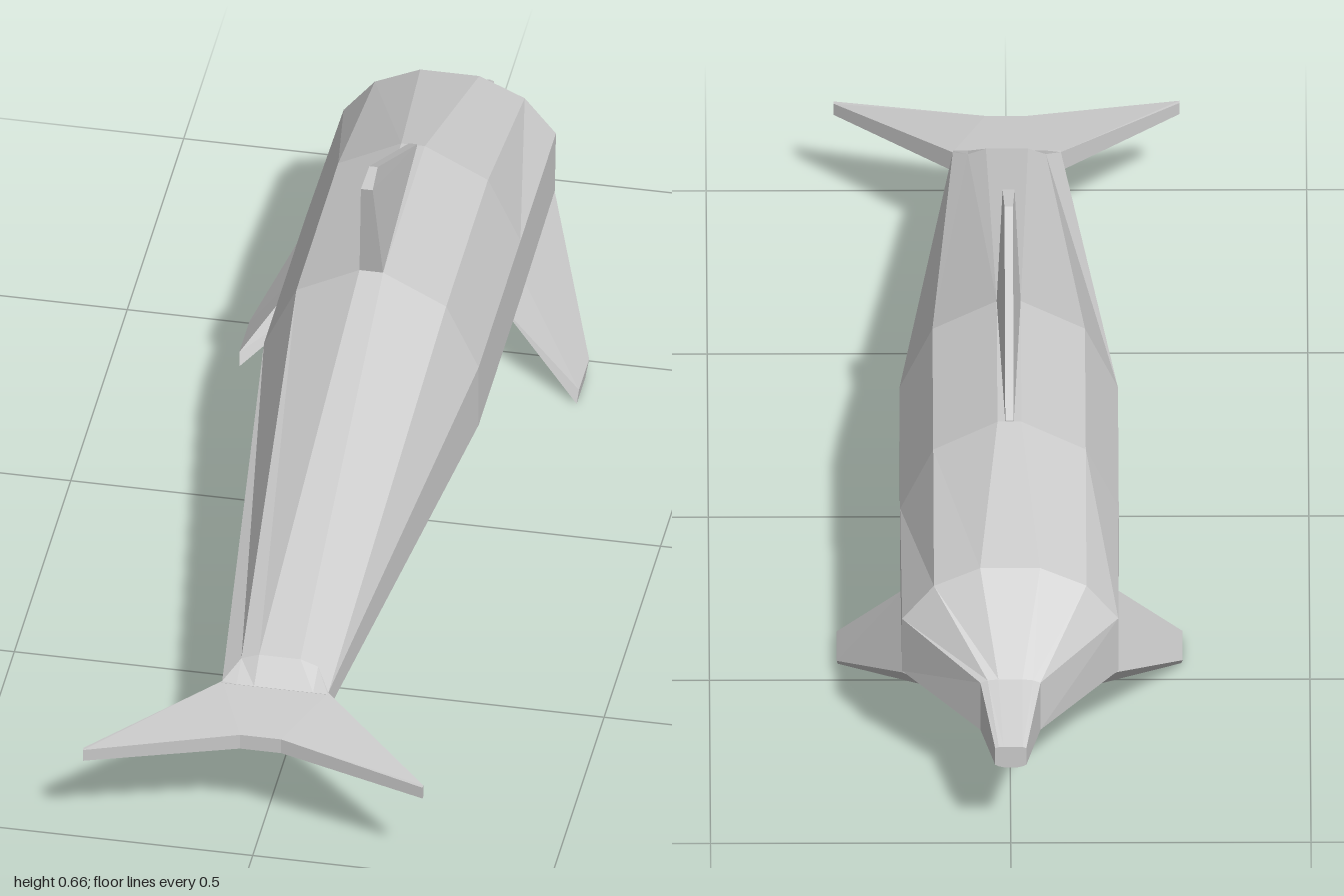
import * as THREE from 'three';

const material = new THREE.MeshStandardMaterial({ color: 0xcccccc, flatShading: true });

// Skins a list of rings (clockwise when seen against the direction of travel), with end caps
function loft(name, rings) {
  const pos = [];
  const tri = (a, b, c) => pos.push(...a, ...b, ...c);
  const n = rings[0].length;
  for (let k = 0; k < rings.length - 1; k++) {
    for (let i = 0; i < n; i++) {
      const j = (i + 1) % n;
      const a = rings[k][i], b = rings[k][j], c = rings[k + 1][j], d = rings[k + 1][i];
      tri(a, d, c);
      tri(a, c, b);
    }
  }
  const first = rings[0], last = rings[rings.length - 1];
  for (let i = 1; i < n - 1; i++) {
    tri(first[0], first[i], first[i + 1]);
    tri(last[0], last[i + 1], last[i]);
  }
  const geometry = new THREE.BufferGeometry();
  geometry.setAttribute('position', new THREE.Float32BufferAttribute(pos, 3));
  geometry.computeVertexNormals();
  const mesh = new THREE.Mesh(geometry, material);
  mesh.name = name;
  return mesh;
}

// Mirrors half a cross-section, listed from back to belly, into a closed ring
const mirrored = (half) => [...half, ...half.map(([x, y, z]) => [-x, y, z]).reverse()];

// Four-cornered fin section: top back, top front, bottom front, bottom back
function createModel() {
  const dolphin = new THREE.Group();
  dolphin.name = 'dolphin';

  // Body: snout tip, snout root, brow, two full sections, tail root, tail end
  const full = (z) => [[0.02, 0.46, z], [0.127, 0.405, z], [0.182, 0.288, z],
    [0.182, 0.17, z], [0.127, 0.12, z], [0.05, 0.09, z]];
  const body = [
    [[0.012, 0.19, -1], [0.02, 0.19, -1], [0.026, 0.188, -1],
      [0.026, 0.155, -1], [0.02, 0.152, -1], [0.012, 0.15, -1]],
    [[0.02, 0.237, -0.865], [0.038, 0.235, -0.865], [0.05, 0.23, -0.865],
      [0.05, 0.137, -0.865], [0.04, 0.134, -0.865], [0.025, 0.132, -0.865]],
    [[0.05, 0.38, -0.745], [0.127, 0.345, -0.745], [0.18, 0.28, -0.745],
      [0.18, 0.17, -0.735], [0.127, 0.122, -0.7], [0.05, 0.09, -0.67]],
    full(-0.42),
    full(-0.05),
    [[0.035, 0.238, 0.76], [0.065, 0.227, 0.76], [0.09, 0.205, 0.8],
      [0.09, 0.17, 0.8], [0.08, 0.163, 0.79], [0.03, 0.14, 0.77]],
    [[0.035, 0.205, 0.805], [0.065, 0.205, 0.805], [0.09, 0.205, 0.805],
      [0.09, 0.17, 0.805], [0.08, 0.165, 0.805], [0.03, 0.165, 0.805]],
  ];
  dolphin.add(loft('body', body.map(mirrored)));

  // Dorsal fin, thin at its leading edge
  const finSection = (front, back, yFront, yBack, wFront, wBack) => [
    [-wFront, yFront, front], [wFront, yFront, front], [wBack, yBack, back], [-wBack, yBack, back]];
  dolphin.add(loft('dorsalFin', [
    finSection(-0.42, -0.05, 0.44, 0.44, 0.007, 0.021),
    finSection(-0.42, -0.05, 0.462, 0.46, 0.007, 0.02),
    finSection(-0.07, -0.01, 0.66, 0.655, 0.007, 0.01),
  ]));

  // Tail flukes, tip to tip
  const tip = (x) => [[x, 0.177, 1], [x, 0.177, 0.993], [x, 0.155, 0.993], [x, 0.155, 1]];
  const root = (s) => [[0.035 * s, 0.193, 0.93], [0.09 * s, 0.205, 0.8],
    [0.09 * s, 0.168, 0.8], [0.035 * s, 0.165, 0.93]];
  dolphin.add(loft('tailFlukes', [tip(-0.288), root(-1), root(1), tip(0.288)]));

  // Flippers, swept back and down
  for (const [name, side] of [['leftFlipper', 1], ['rightFlipper', -1]]) {
    const flipper = loft(name, [
      [[0.175, 0.168, -0.48], [0.178, 0.17, -0.74], [0.135, 0.13, -0.72], [0.135, 0.13, -0.46]],
      [[0.288, 0.022, -0.385], [0.288, 0.022, -0.475], [0.286, 0, -0.45], [0.286, 0, -0.375]],
    ]);
    flipper.scale.x = side;
    dolphin.add(flipper);
  }

  return dolphin;
}

export { createModel };
